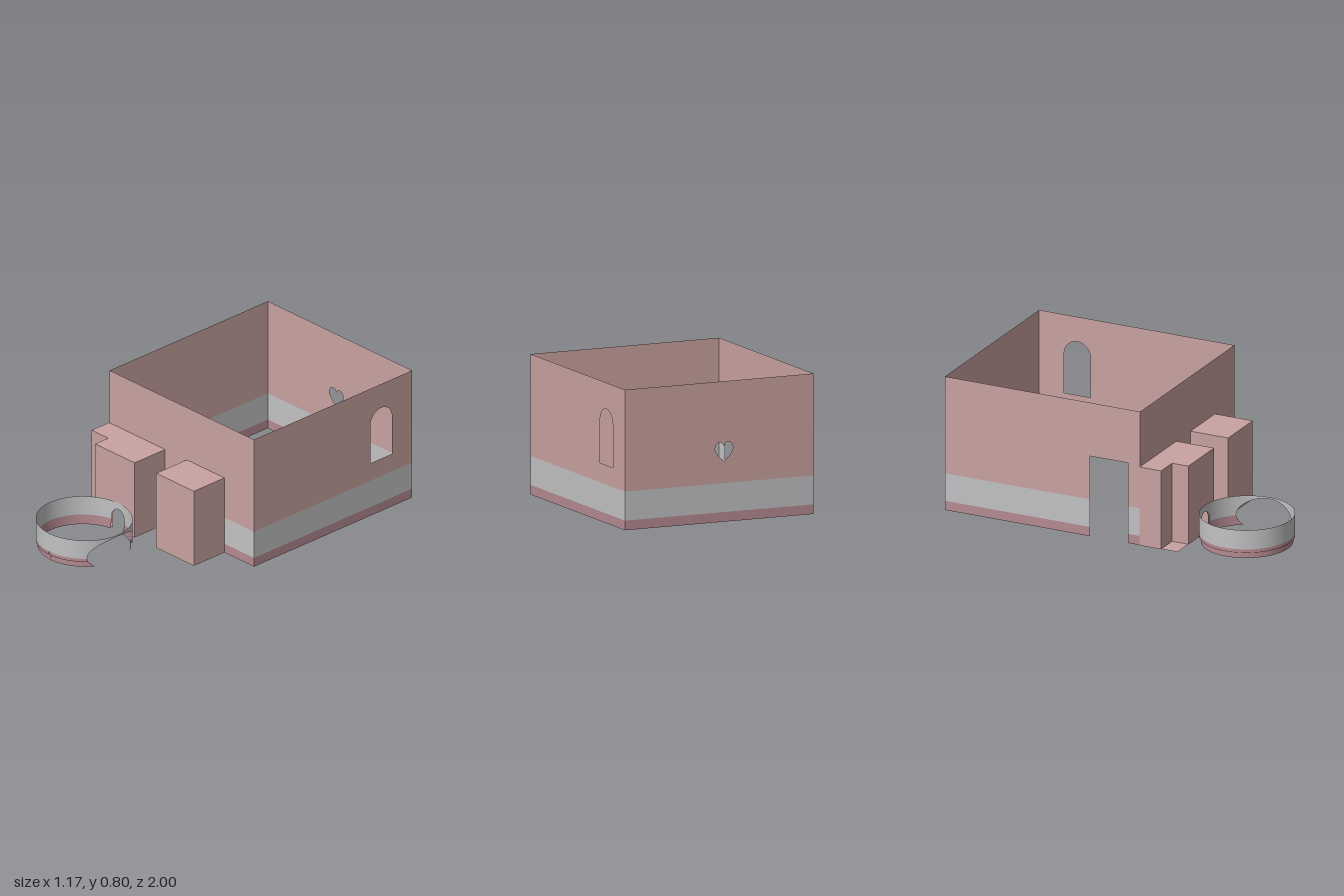
import * as THREE from 'three';

const flat = (name, color) => new THREE.MeshStandardMaterial({ name, color, side: THREE.DoubleSide });

export function createModel() {
  const pink = flat('pink plaster', 0xc9a3a0);
  const grey = flat('grey band', 0xc2c2c4);
  const mauve = flat('mauve skirting', 0xb58a92);
  const model = new THREE.Group();
  model.name = 'house';

  const add = (parent, name, geometry, material) => {
    const mesh = new THREE.Mesh(geometry, material);
    mesh.name = name;
    parent.add(mesh);
    return mesh;
  };
  const group = (name) => {
    const g = new THREE.Group();
    g.name = name;
    model.add(g);
    return g;
  };

  // Upright sheet from plan point a to b; gaps are doorways [start, end, height, arched]
  function panel(parent, name, a, b, y0, y1, material, gaps = [], holes = []) {
    const dx = b[0] - a[0], dz = b[1] - a[1], length = Math.hypot(dx, dz);
    const s = new THREE.Shape();
    s.moveTo(0, y0);
    for (const [u0, u1, h, arched] of gaps) {
      s.lineTo(u0, y0);
      if (arched) {
        const r = (u1 - u0) / 2;
        s.lineTo(u0, h - r);
        s.absarc(u0 + r, h - r, r, Math.PI, 0, true);
      } else {
        s.lineTo(u0, h);
        s.lineTo(u1, h);
      }
      s.lineTo(u1, y0);
    }
    s.lineTo(length, y0);
    s.lineTo(length, y1);
    s.lineTo(0, y1);
    s.holes = holes;
    const mesh = add(parent, name, new THREE.ShapeGeometry(s, 16), material);
    mesh.position.set(a[0], 0, a[1]);
    mesh.rotation.y = Math.atan2(-dz, dx);
  }

  // Room wall: skirting, grey band and plaster above
  const SKIRT = 0.055, BAND = 0.22, TOP = 0.8;
  function roomWall(name, a, b, gaps = [], holes = []) {
    const g = group(name);
    const length = Math.hypot(b[0] - a[0], b[1] - a[1]);
    panel(g, 'plaster', a, b, BAND, TOP, pink, gaps, holes);
    const stops = [0, ...gaps.flatMap(([u0, u1]) => [u0, u1]), length];
    const at = (u) => [a[0] + (b[0] - a[0]) * u / length, a[1] + (b[1] - a[1]) * u / length];
    for (let i = 0; i < stops.length; i += 2) {
      panel(g, 'skirting', at(stops[i]), at(stops[i + 1]), 0, SKIRT, mauve);
      panel(g, 'greyBand', at(stops[i]), at(stops[i + 1]), SKIRT, BAND, grey);
    }
  }

  const L = -0.585, R = 0.585, F = 0.225, B = -1;

  // Arched window, measured from the front edge of its wall
  const windowHole = new THREE.Path();
  const wc = F + 0.76, wr = 0.083;
  windowHole.moveTo(wc - wr, 0.33);
  windowHole.lineTo(wc + wr, 0.33);
  windowHole.lineTo(wc + wr, 0.568);
  windowHole.absarc(wc, 0.568, wr, 0, Math.PI, false);
  windowHole.lineTo(wc - wr, 0.33);

  // Heart opening in the back wall
  const heart = new THREE.Path();
  const hx = R + 0.03;
  heart.moveTo(hx, 0.345);
  heart.bezierCurveTo(hx + 0.03, 0.37, hx + 0.057, 0.395, hx + 0.055, 0.42);
  heart.bezierCurveTo(hx + 0.053, 0.46, hx + 0.01, 0.465, hx, 0.43);
  heart.bezierCurveTo(hx - 0.01, 0.465, hx - 0.053, 0.46, hx - 0.055, 0.42);
  heart.bezierCurveTo(hx - 0.057, 0.395, hx - 0.03, 0.37, hx, 0.345);

  const PORCH = 0.47;
  roomWall('frontWall', [L, F], [R, F],
    [[-0.455 - L, -0.135 - L, PORCH], [0.04 - L, 0.345 - L, PORCH]]);
  roomWall('leftWall', [R, F], [R, B], [], [windowHole]);
  roomWall('backWall', [R, B], [L, B], [], [heart]);
  roomWall('rightWall', [L, B], [L, F], [[0.91, 1.15, 0.48]]);

  // Bays in front of the room, open to it
  function flatPlate(parent, name, points, y) {
    const s = new THREE.Shape(points.map(([x, z]) => new THREE.Vector2(x, -z)));
    const geometry = new THREE.ShapeGeometry(s).rotateX(-Math.PI / 2).translate(0, y, 0);
    add(parent, name, geometry, pink);
  }
  function bay(name, points, doors = {}) {
    const g = group(name);
    for (let i = 0; i + 1 < points.length; i++)
      panel(g, 'bayWall', points[i], points[i + 1], 0, PORCH, pink, doors[i]);
    flatPlate(g, 'bayRoof', points, PORCH);
    return g;
  }
  const corner = bay('corneredBay',
    [[-0.59, F], [-0.59, 0.36], [-0.455, 0.36], [-0.455, 0.462], [-0.135, 0.462], [-0.135, F]],
    { 3: [[0.145, 0.245, 0.13, true]] });
  flatPlate(corner, 'cornerFloor',
    [[-0.59, 0.36], [-0.59, 0.462], [-0.455, 0.462], [-0.455, 0.36]], 0.002);
  bay('plainBay', [[0.04, F], [0.04, 0.462], [0.345, 0.462], [0.345, F]]);

  // Round enclosure: an oval wall with a wide side opening and an arched doorway
  const ring = group('roundEnclosure');
  const cx = -0.26, cz = 0.733, N = 360;
  const inset = (y) => 0.01 * THREE.MathUtils.clamp((0.035 - y) / 0.005, 0, 1);

  // Lower and upper edge of the opening at an angle
  function opening(t) {
    const x = 0.275 * Math.cos(t), z = 0.267 * Math.sin(t);
    if (x > 0) {
      const k = Math.sqrt(Math.max(0, 1 - (z / 0.175) ** 2));
      return [0.06 - 0.1 * k, 0.06 + 0.1 * k];
    }
    const r = 0.05;
    if (z < 0 && Math.abs(x) < r) return [0, 0.08 + Math.sqrt(r * r - x * x)];
    return [0, 0];
  }
  // The doorway also crosses the centre line, so it is tested on both halves
  const doorway = (t) => {
    const x = 0.275 * Math.cos(t), z = Math.sin(t);
    return z < 0 && Math.abs(x) < 0.05 ? [0, 0.08 + Math.sqrt(0.0025 - x * x)] : opening(t);
  };

  function ringBand(name, y0, y1, material) {
    const position = [], normal = [], index = [];
    for (const side of [0, 1]) {
      const start = position.length / 3;
      for (let i = 0; i <= N; i++) {
        const t = (i / N) * Math.PI * 2;
        const [lo, hi] = doorway(t);
        const ends = side
          ? [THREE.MathUtils.clamp(hi, y0, y1), y1]
          : [y0, THREE.MathUtils.clamp(lo, y0, y1)];
        for (const y of ends) {
          position.push(cx + (0.275 - inset(y)) * Math.cos(t), y, cz + (0.267 - inset(y)) * Math.sin(t));
          normal.push(Math.cos(t), 0, Math.sin(t));
        }
        if (i === N) continue;
        const a = start + i * 2;
        const height = (k) => position[k * 3 + 4] - position[k * 3 + 1];
        if (height(a) > 1e-5 || height(a + 2) > 1e-5)
          index.push(a, a + 1, a + 2, a + 1, a + 3, a + 2);
      }
    }
    const g = new THREE.BufferGeometry();
    g.setAttribute('position', new THREE.Float32BufferAttribute(position, 3));
    g.setAttribute('normal', new THREE.Float32BufferAttribute(normal, 3));
    g.setIndex(index);
    add(ring, name, g, material);
  }
  ringBand('ringFoot', 0, 0.03, mauve);
  ringBand('ringStep', 0.03, 0.035, mauve);
  ringBand('ringSkirting', 0.035, SKIRT, mauve);
  ringBand('ringWall', SKIRT, 0.17, grey);

  return model;
}
